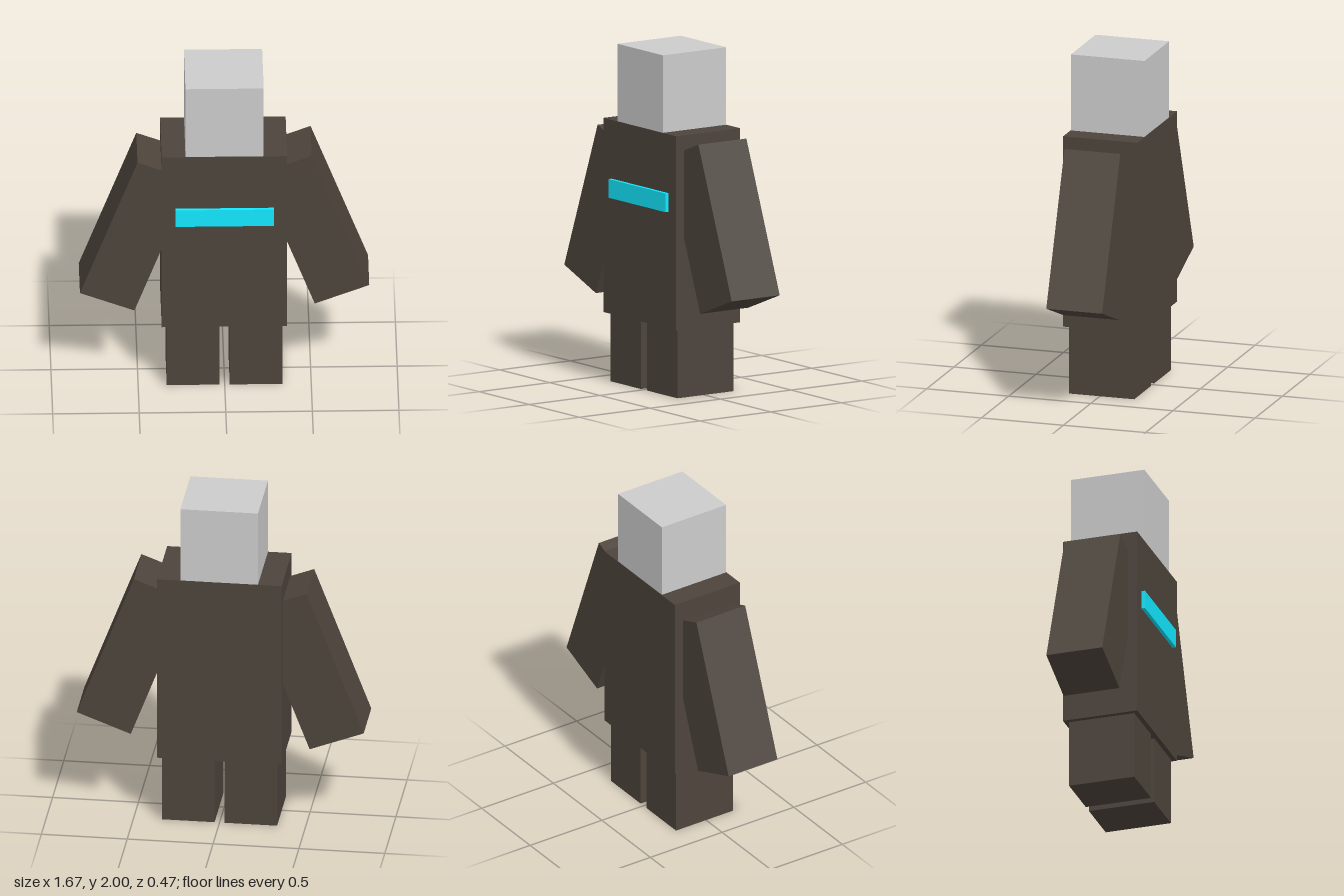
import * as THREE from 'three';

export function createModel() {
  const model = new THREE.Group();
  const skin = new THREE.MeshStandardMaterial({ color: 0xcccccc });
  const cloth = new THREE.MeshStandardMaterial({ color: 0x4d443c });
  const cyan = new THREE.MeshStandardMaterial({ color: 0x12e8ff });

  // A named box, given by its size and centre
  function addBox(name, material, size, centre) {
    const mesh = new THREE.Mesh(new THREE.BoxGeometry(...size), material);
    mesh.name = name;
    mesh.position.set(...centre);
    model.add(mesh);
    return mesh;
  }

  const z = -0.011;

  // Head sunk into the torso, a hair shallower so the faces do not coincide
  addBox('head', skin, [0.452, 0.58, 0.448], [-0.001, 1.71, z]);
  addBox('torso', cloth, [0.725, 1.14, 0.452], [-0.002, 0.975, z]);

  // Band across the chest
  addBox('chestStripe', cyan, [0.569, 0.11, 0.04], [-0.001, 1.145, 0.216]);

  // Legs and splayed arms; the left shoulder sits slightly higher
  for (const [side, s, armY] of [['left', 1, 1.016], ['right', -1, 0.982]]) {
    addBox(side + 'Leg', cloth, [0.306, 0.43, 0.397], [s * 0.182, 0.215, z]);
    const arm = addBox(side + 'Arm', cloth, [0.337, 0.932, 0.34], [s * 0.512, armY, z]);
    arm.rotation.z = s * THREE.MathUtils.degToRad(20.9);
  }

  return model;
}
